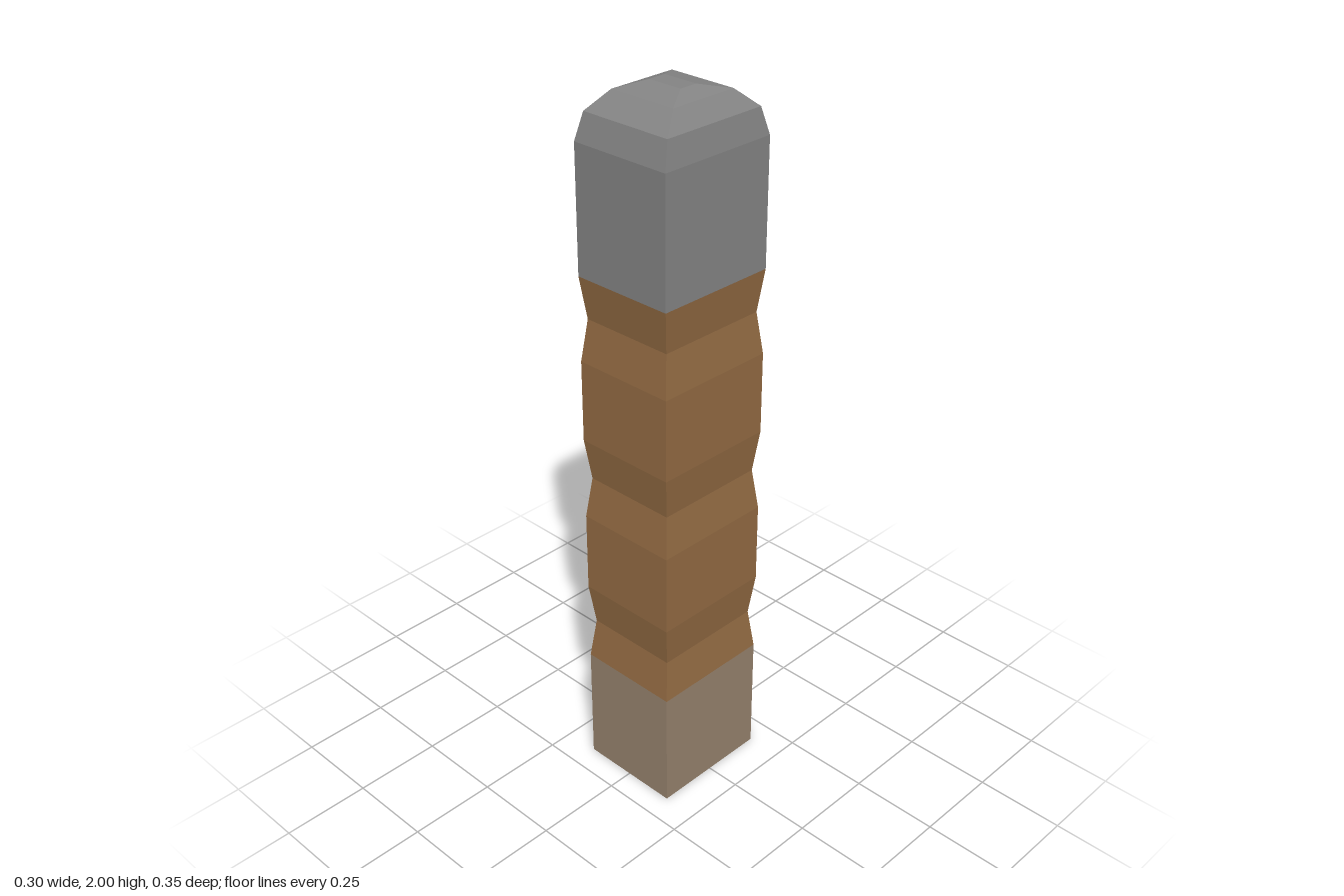
import * as THREE from 'three';

// Square-sided shell through rings of [y, half width, half depth]
function shell(name, rings, material, capped = false) {
  const pos = [];
  const corners = ([y, w, d]) => [[-w, y, d], [w, y, d], [w, y, -d], [-w, y, -d]];
  const quad = (a, b, c, d) => pos.push(...a, ...b, ...c, ...a, ...c, ...d);
  for (let i = 0; i < rings.length - 1; i++) {
    const lo = corners(rings[i]), hi = corners(rings[i + 1]);
    for (let k = 0; k < 4; k++) {
      const n = (k + 1) % 4;
      quad(lo[k], lo[n], hi[n], hi[k]);
    }
  }
  if (capped) quad(...corners(rings[rings.length - 1]));
  const geometry = new THREE.BufferGeometry();
  geometry.setAttribute('position', new THREE.Float32BufferAttribute(pos, 3));
  geometry.computeVertexNormals();
  const mesh = new THREE.Mesh(geometry, material);
  mesh.name = name;
  return mesh;
}

export function createModel() {
  const mat = (name, color) => new THREE.MeshStandardMaterial({
    name, color, flatShading: true, side: THREE.DoubleSide,
  });
  const stone = mat('grey cap', 0x848484);
  const wood = mat('brown grip', 0x936b43);
  const pale = mat('pale brown base', 0x96826d);

  const W = 0.15, D = 0.177;
  const group = new THREE.Group();
  group.name = 'post';

  // Hollow base, open underneath
  group.add(shell('base', [[0, W, D], [0.35, W, D]], pale));

  // Grip with three evenly spaced grooves
  const rings = [];
  for (let i = 0; i < 3; i++) {
    const y = 0.468 + i * 0.466;
    rings.push([y - 0.118, W, D], [y, 0.137, 0.162], [y + 0.117, W, D]);
  }
  group.add(shell('grip', rings, wood));

  // Cap with a stepped, rounded top
  group.add(shell('cap', [
    [1.517, W, D], [1.863, W, D], [1.935, 0.137, 0.157],
    [1.983, 0.1, 0.101], [2, 0.051, 0.026],
  ], stone, true));

  return group;
}
